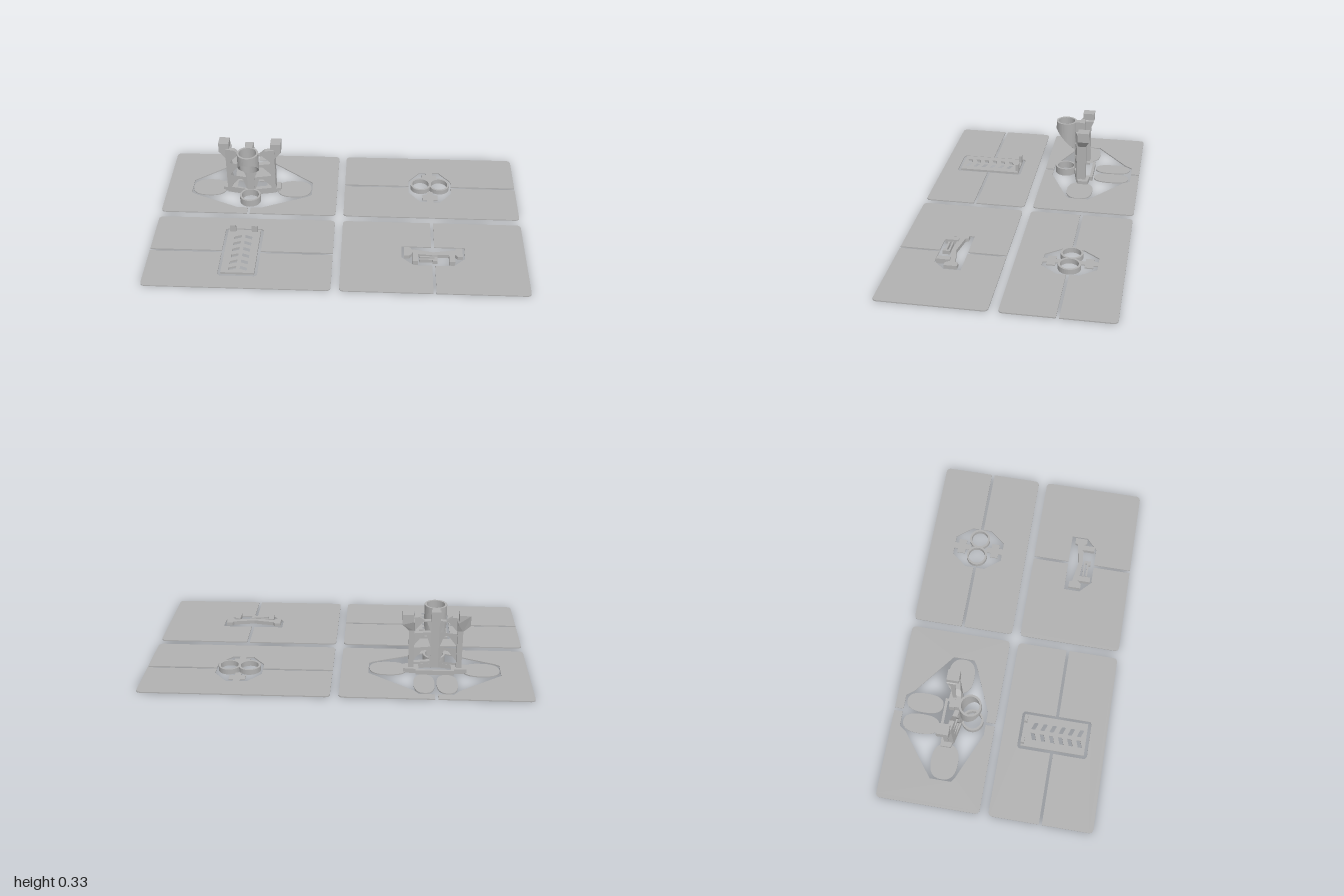
import * as THREE from 'three';

const grey = new THREE.MeshStandardMaterial({ color: 0xb0b0b0 });
grey.name = 'plain grey';
grey.flatShading = true;

const T = 0.006; // sheet thickness
const CX = 0.511, CZ = 0.303, HX = 0.489, HZ = 0.279; // plate centres and half sizes
const GAP = 0.008; // half width of the slots

export function createModel() {
  const root = new THREE.Group();

  const add = (name, geo, parent = root) => {
    const m = new THREE.Mesh(geo, grey);
    m.name = name;
    parent.add(m);
    return m;
  };
  const box = (name, x0, x1, y0, y1, z0, z1, parent) => {
    const g = new THREE.BoxGeometry(x1 - x0, y1 - y0, z1 - z0);
    g.translate((x0 + x1) / 2, (y0 + y1) / 2, (z0 + z1) / 2);
    return add(name, g, parent);
  };
  const path = (pts, Kind = THREE.Shape) => new Kind(pts.map(([x, y]) => new THREE.Vector2(x, y)));
  // Flat outline in x, z, raised to a height
  const slab = (name, pts, h, parent, holes = []) => {
    const flip = (p) => p.map(([x, z]) => [x, -z]);
    const s = path(flip(pts));
    s.holes = holes.map((p) => path(flip(p), THREE.Path));
    const g = new THREE.ExtrudeGeometry(s, { depth: h, bevelEnabled: false });
    return add(name, g.rotateX(-Math.PI / 2), parent);
  };
  const rect = (x0, x1, z0, z1) => [[x0, z0], [x1, z0], [x1, z1], [x0, z1]];
  const group = (name, x, z) => {
    const g = new THREE.Group();
    g.name = name;
    g.position.set(x, 0, z);
    root.add(g);
    return g;
  };

  // A sheet in two mirrored halves around a cut-out; swap makes the slot run along x
  const sheet = (parent, chain, swap) => {
    const U = swap ? HZ : HX, V = swap ? HX : HZ, r = 0.022;
    const corner = (sv) => [0, 1, 2, 3, 4].map((i) => {
      const a = (i / 4) * Math.PI / 2;
      return [U - r + r * Math.sin(a), sv * (V - r + r * Math.cos(a))];
    });
    for (const s of [1, -1]) {
      const pts = [[GAP, -V], ...chain, [GAP, V], ...corner(1), ...corner(-1).reverse()];
      slab('sheetHalf', pts.map(([u, v]) => (swap ? [v, s * u] : [s * u, v])), T, parent);
    }
  };

  // Ring whose lower edge follows a rule of the local z
  const ring = (name, x, z, R, r, top, bottomAt, parent) => {
    const N = 36, pos = [], idx = [];
    for (let i = 0; i <= N; i++) {
      const a = (i / N) * Math.PI * 2, c = Math.cos(a), s = Math.sin(a);
      const b = bottomAt(s * R);
      for (const [q, y] of [[R, b], [R, top], [r, top], [r, b]]) pos.push(x + q * c, y, z + q * s);
      if (i < N) for (let k = 0; k < 4; k++) {
        const p = i * 4 + k, n = i * 4 + (k + 1) % 4;
        idx.push(p, n, p + 4, n, n + 4, p + 4);
      }
    }
    const g = new THREE.BufferGeometry();
    g.setAttribute('position', new THREE.Float32BufferAttribute(pos, 3));
    g.setIndex(idx);
    const flat = g.toNonIndexed();
    flat.computeVertexNormals();
    return add(name, flat, parent);
  };

  // ---- Back right sheet with the tower ----
  const tower = group('towerSheet', -CX, -CZ);
  sheet(tower, [[GAP, -0.232], [0.088, -0.232], [0.117, -0.192], [0.345, -0.015], [0.345, 0.1],
    [0.32, 0.118], [0.065, 0.228], [GAP, 0.228]]);

  // Oval feet
  const oval = (x, z, a, b) => {
    const pts = [];
    for (let i = 0; i < 32; i++) {
      const t = (i / 32) * Math.PI * 2, c = Math.cos(t), s = Math.sin(t);
      pts.push([x + a * Math.sign(c) * Math.abs(c) ** 0.8, z + b * Math.sign(s) * Math.abs(s) ** 0.8]);
    }
    slab('ovalFoot', pts, T, tower);
  };
  for (const s of [1, -1]) {
    oval(s * 0.243, 0.046, 0.097, 0.073);
    oval(s * 0.059, -0.119, 0.054, 0.1);
  }

  // Low base frame
  slab('baseFrame', [[-0.1, -0.012], [0.1, -0.012], [0.1, 0.005], [0.165, 0.01], [0.165, 0.065], [0.12, 0.075],
    [0, 0.105], [-0.12, 0.075], [-0.165, 0.065], [-0.165, 0.01], [-0.1, 0.005]], 0.025, tower,
  [[[-0.085, 0.003], [0.085, 0.003], [0.085, 0.06], [0.025, 0.075], [-0.025, 0.075], [-0.085, 0.06]]]);

  for (const s of [1, -1]) {
    // Truss panel, swept back towards its outer edge
    const p = path([[0, 0], [0.138, 0], [0.138, 0.295], [0.085, 0.295], [0.055, 0.27], [0, 0.27]].map(([x, y]) => [s * x, y]));
    for (const [y, h] of [[0.037, 0.066], [0.122, 0.066], [0.205, 0.06]]) {
      p.holes.push(path([[0.024, y], [0.113, y], [0.113, y + 0.012], [0.068, y + h], [0.046, y + h]].map(([x, v]) => [s * x, v]), THREE.Path));
    }
    const g = new THREE.ExtrudeGeometry(p, { depth: 0.025, bevelEnabled: false });
    const a = g.attributes.position;
    for (let i = 0; i < a.count; i++) a.setZ(i, a.getZ(i) + 0.08 - 0.2 * Math.abs(a.getX(i)));
    g.computeVertexNormals();
    add('trussPanel', g, tower);

    // Rear post
    const x = s * 0.125;
    box('rearPost', x - 0.014, x + 0.014, 0, 0.236, 0.025, 0.05, tower);
    box('postLink', x - 0.008, x + 0.008, 0, 0.236, 0.045, 0.065, tower);

    // Shoulder block with tapered underside
    const b = path([[0.116, 0.33], [0.174, 0.33], [0.174, 0.275], [0.138, 0.232], [0.11, 0.232], [0.11, 0.285], [0.116, 0.29]].map(([u, y]) => [s * u, y]));
    const bg = new THREE.ExtrudeGeometry(b, { depth: 0.065, bevelEnabled: false });
    const ba = bg.attributes.position;
    for (let i = 0; i < ba.count; i++) if (ba.getZ(i) < 0.01 && ba.getY(i) < 0.25) ba.setZ(i, 0.02);
    bg.translate(0, 0, 0.008);
    bg.computeVertexNormals();
    add('shoulderBlock', bg, tower);
  }

  // Chute at the top, ring at the foot, and the stem behind
  ring('chute', 0, 0.156, 0.059, 0.048, 0.33, (z) => Math.min(0.28, 0.222 + z * 1.1), tower);
  ring('footRing', 0, 0.156, 0.059, 0.048, 0.042, () => 0, tower);
  box('stem', -0.02, 0.02, 0, 0.33, 0.075, 0.105, tower);
  box('stemRear', -0.024, 0.024, 0.27, 0.33, 0.048, 0.076, tower);

  // ---- Back left sheet with two rings ----
  const rings = group('ringSheet', CX, -CZ);
  sheet(rings, [[GAP, -0.122], [0.055, -0.122], [0.14, -0.055], [0.14, 0.055], [0.055, 0.122], [GAP, 0.122]], true);
  for (const s of [1, -1]) {
    ring('smallRing', s * 0.053, 0, 0.058, 0.047, 0.028, () => 0, rings);
    slab('ringTab', [[-0.042, 0.074], [-0.016, 0.074], [-0.016, 0.045], [0.016, 0.045], [0.016, 0.074], [0.042, 0.074],
      [0.042, 0.118], [0.018, 0.118], [0.018, 0.14], [-0.018, 0.14], [-0.018, 0.118], [-0.042, 0.118]]
      .map(([x, z]) => [x, s * z]), T, rings);
  }

  // ---- Front right sheet with the slotted panel ----
  const vent = group('ventSheet', -CX, CZ);
  sheet(vent, [[GAP, -0.104], [0.18, -0.104], [0.19, -0.09], [0.19, 0.09], [0.18, 0.104], [GAP, 0.104]], true);
  const slots = [];
  for (let i = 0; i < 6; i++) for (const s of [1, -1]) {
    const z = -0.13 + i * 0.05;
    slots.push([[0.01, z], [0.048, z + 0.014], [0.048, z + 0.036], [0.01, z + 0.022]].map(([x, v]) => [s * x, v]));
  }
  slab('slottedPanel', rect(-0.088, 0.088, -0.174, 0.172), 0.012, vent, slots);
  box('leftPost', 0.04, 0.072, 0, 0.054, -0.174, -0.156, vent);
  box('rightPost', -0.078, -0.046, 0, 0.054, -0.174, -0.156, vent);

  // ---- Front left sheet with the bracket ----
  const bracket = group('bracketSheet', CX, CZ);
  sheet(bracket, [[GAP, -0.078], [0.168, -0.078], [0.168, 0.01], [0.105, 0.07], [GAP, 0.07]]);
  const half = [[0, -0.02], [0.115, -0.04], [0.122, -0.056], [0.155, -0.056], [0.155, 0.012], [0.128, 0.012], [0.115, -0.005], [0, 0.004]];
  const mirrored = half.slice(1, -1).map(([x, z]) => [-x, z]).reverse();
  slab('bracketBar', [...half, ...mirrored], 0.02, bracket);
  for (const s of [1, -1]) {
    slab('bracketLeg', [[0.082, -0.01], [0.112, -0.01], [0.112, 0.06], [0.082, 0.06]].map(([x, z]) => [s * x, z]), 0.027, bracket);
  }
  slab('bracketHook', [[-0.075, 0.012], [0.02, 0.012], [0.02, 0.05], [-0.005, 0.05], [-0.005, 0.04], [-0.075, 0.04],
    [-0.075, 0.03], [0.005, 0.03], [0.005, 0.02], [-0.075, 0.02]], 0.02, bracket);

  return root;
}
